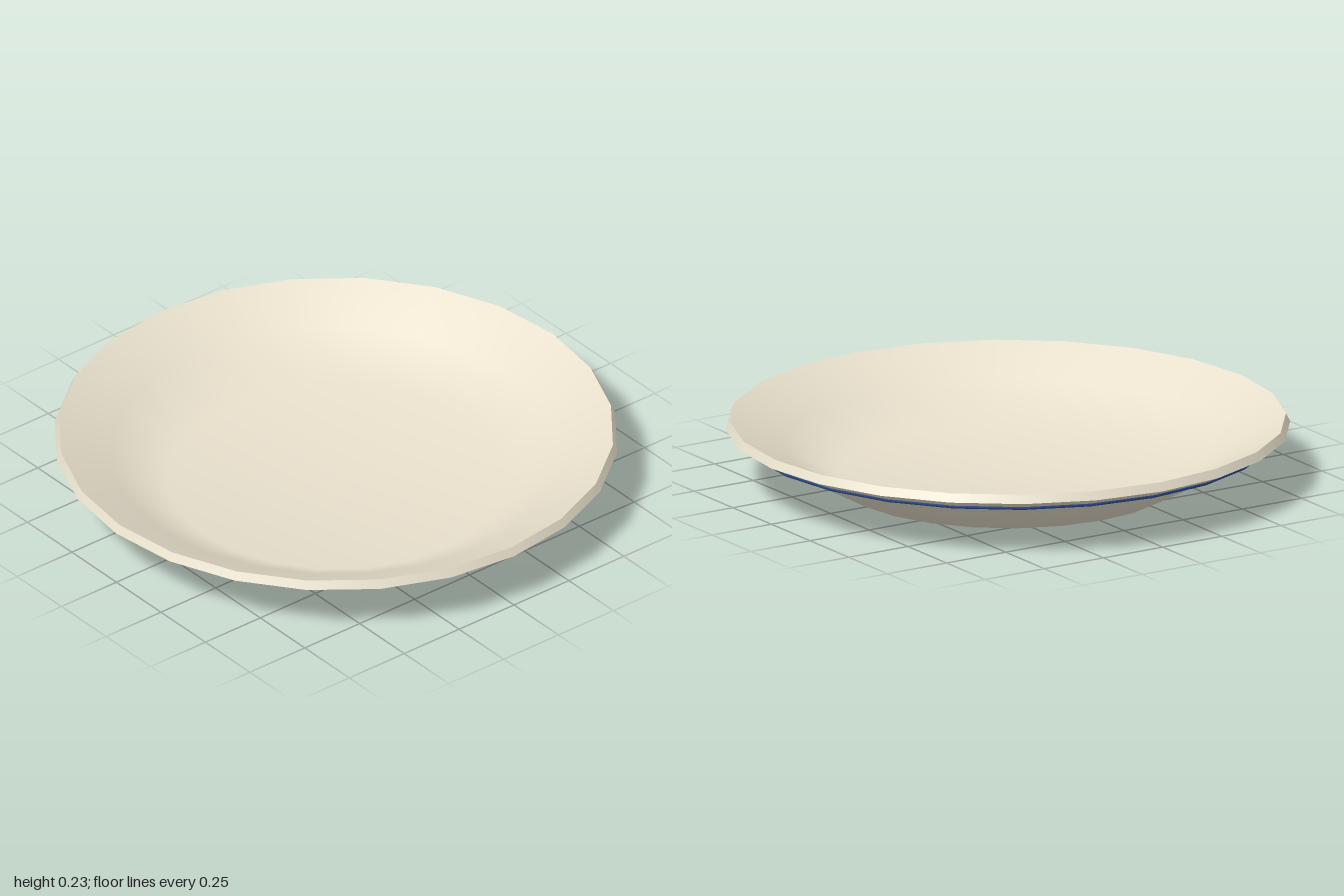
import * as THREE from 'three';

const SIDES = 24;

export function createModel() {
  const plate = new THREE.Group();
  plate.name = 'plate';
  const cream = new THREE.MeshStandardMaterial({ color: 0xe8e0cc });
  const blue = new THREE.MeshStandardMaterial({ color: 0x2a4a8a });

  // Each surface is its own lathe, so the rim edges stay sharp
  const addLathe = (name, profile) => {
    const points = profile.map(([r, y]) => new THREE.Vector2(r, y));
    const mesh = new THREE.Mesh(new THREE.LatheGeometry(points, SIDES), cream);
    mesh.name = name;
    plate.add(mesh);
  };

  // Flat foot and flaring underside
  addLathe('underside', [[0, 0], [0.6, 0], [0.8, 0.11], [1, 0.205]]);
  // Narrow band around the lip
  addLathe('rim', [[1, 0.205], [0.985, 0.235]]);
  // Shallow inside
  addLathe('well', [[0.985, 0.235], [0.8, 0.145], [0.6, 0.035], [0, 0.035]]);

  // Thin coloured ring under the lip
  const ring = new THREE.Mesh(new THREE.TorusGeometry(0.935, 0.008, 6, SIDES), blue);
  ring.name = 'decorativeRing';
  ring.rotation.x = Math.PI / 2;
  ring.position.y = 0.173;
  plate.add(ring);

  return plate;
}
